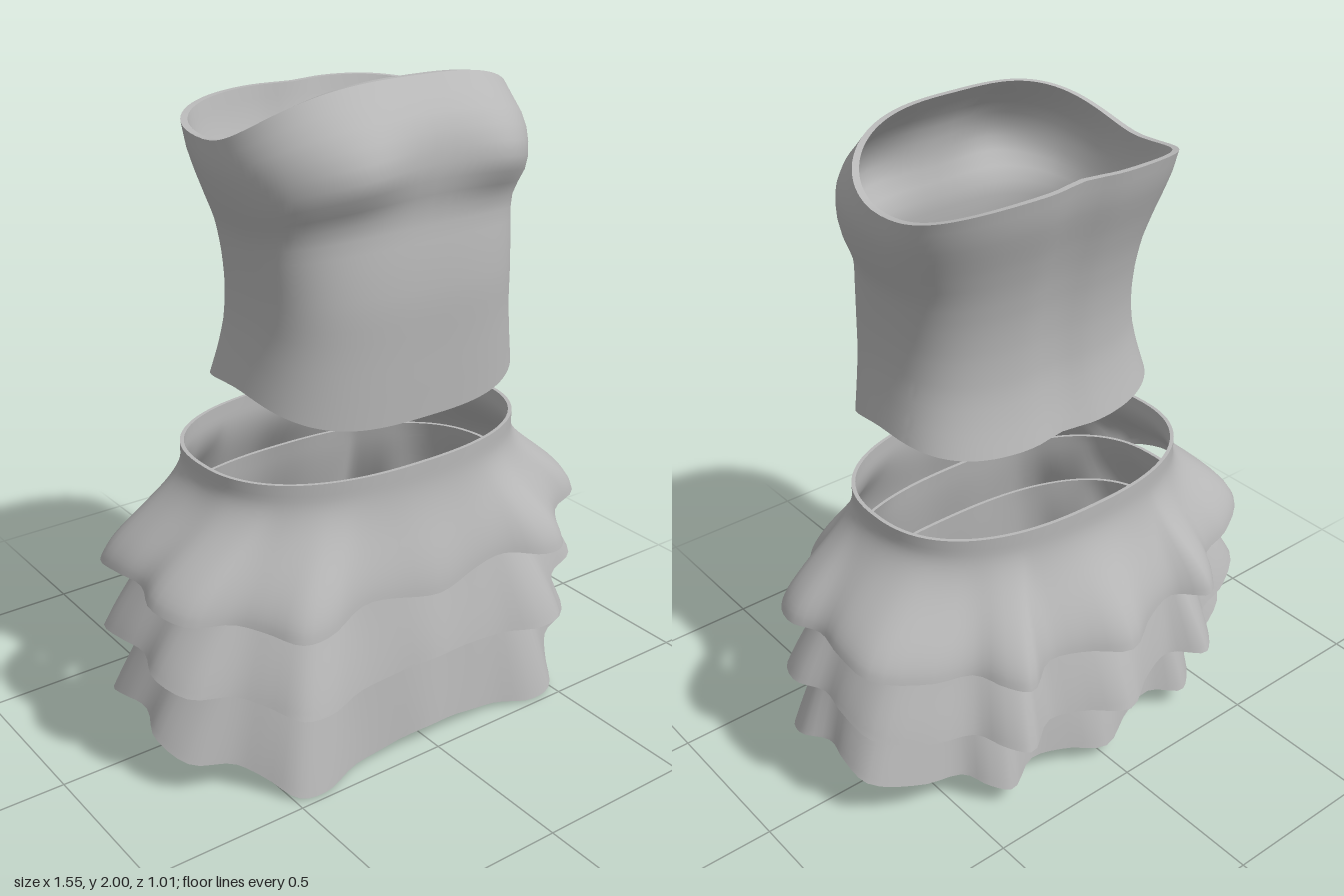
import * as THREE from 'three';
import { toCreasedNormals } from 'three/addons/utils/BufferGeometryUtils.js';

const SEG = 128, ROWS = 22;
const cloth = new THREE.MeshStandardMaterial({ color: 0xb8b8b8, side: THREE.DoubleSide });
cloth.name = 'grey cloth';

const lerp = THREE.MathUtils.lerp;
const bump = (v, w) => Math.exp(-((v / w) ** 2));

// Point on a rounded-rectangle ring; angle 0 faces the front
function ringPoint(angle, hx, zFront, zBack, n) {
  const s = Math.sin(angle), c = Math.cos(angle);
  const round = (v) => Math.sign(v) * Math.abs(v) ** (2 / n);
  return [hx * round(s), (zFront + zBack) / 2 + ((zFront - zBack) / 2) * round(c)];
}

// Closed cloth shell: outer wall going up, inner wall coming down
function shell(name, pointAt, thickness) {
  const positions = [], index = [];
  const total = 2 * (ROWS + 1);
  for (let r = 0; r < total; r++) {
    const inner = r > ROWS;
    const t = (inner ? total - 1 - r : r) / ROWS;
    for (let i = 0; i < SEG; i++) {
      const p = pointAt(i / SEG, t);
      if (inner) {
        const inward = new THREE.Vector3(-p.x, 0, 0.06 - p.z).normalize();
        p.addScaledVector(inward, thickness);
      }
      positions.push(p.x, p.y, p.z);
    }
  }
  for (let r = 0; r < total; r++) {
    const next = (r + 1) % total;
    for (let i = 0; i < SEG; i++) {
      const j = (i + 1) % SEG;
      const a = r * SEG + i, b = r * SEG + j, c = next * SEG + j, d = next * SEG + i;
      index.push(a, b, c, a, c, d);
    }
  }
  const geometry = new THREE.BufferGeometry();
  geometry.setAttribute('position', new THREE.Float32BufferAttribute(positions, 3));
  geometry.setIndex(index);
  const mesh = new THREE.Mesh(toCreasedNormals(geometry, 0.7), cloth);
  mesh.name = name;
  return mesh;
}

// Strapless bodice: half width, front z and back z at equal steps from hem to neckline
const bodiceProfile = new THREE.CatmullRomCurve3([
  [0.45, 0.41, -0.19], [0.43, 0.415, -0.165], [0.415, 0.42, -0.15],
  [0.41, 0.425, -0.15], [0.412, 0.42, -0.16], [0.42, 0.41, -0.18],
  [0.448, 0.43, -0.21], [0.468, 0.415, -0.245], [0.468, 0.32, -0.27],
].map((p) => new THREE.Vector3(...p)));

function bodicePoint(u, t) {
  const angle = u * Math.PI * 2, c = Math.cos(angle);
  const lift = Math.abs(c) ** 1.3;
  const bottom = 1.16 - lift * (c > 0 ? 0.1 : 0.06);
  const top = 1.84 + lift * (c > 0 ? 0.16 : 0.06);
  const row = bodiceProfile.getPoint(t);
  let [x, z] = ringPoint(angle, row.x, row.y, row.z, 3);
  if (c > 0) {
    // Two bust cups, sharper underneath than above, with a dip between
    const cup = bump(Math.abs(x) - 0.25, 0.15) * bump(t - 0.77, t < 0.77 ? 0.09 : 0.12);
    z += 0.045 * cup * Math.min(1, c * 2);
  } else {
    z += 0.022 * bump(x, 0.08); // spine groove
  }
  return new THREE.Vector3(x, lerp(bottom, top, t), z);
}

// Left half of the folded hem outline as [x, z], from front centre to back centre
const folds = [
  [0, 0.49], [0.14, 0.47], [0.27, 0.47], [0.4, 0.505], [0.49, 0.49], [0.55, 0.4],
  [0.61, 0.33], [0.73, 0.28], [0.775, 0.16], [0.74, 0.05], [0.755, -0.06], [0.74, -0.2],
  [0.6, -0.3], [0.47, -0.34], [0.42, -0.42], [0.36, -0.47], [0.25, -0.41], [0.13, -0.44], [0, -0.505],
];
const outline = new THREE.CatmullRomCurve3(
  [...folds, ...folds.slice(1, -1).reverse().map(([x, z]) => [-x, z])]
    .map(([x, z]) => new THREE.Vector3(x, 0, z)), true);

// Each tier: waist ring, hem height at the sides, hem drop front and back,
// raised arch in the front hem, depth scales and how late the cloth flares
const tiers = [
  { name: 'upperRuffle', top: 0.92, waist: [0.53, 0.41, -0.32], side: 0.6, drop: [0.075, 0.1],
    arch: 0.035, archX: 0.25, depth: [1, 1], flare: 1 },
  { name: 'middleRuffle', top: 0.7, waist: [0.58, 0.4, -0.34], side: 0.38, drop: [0.1, 0.11],
    arch: 0.03, archX: 0, depth: [1, 1], flare: 0.25 },
  { name: 'lowerRuffle', top: 0.5, waist: [0.62, 0.41, -0.29], side: 0.19, drop: [0.185, 0.14],
    arch: 0.05, archX: 0, depth: [0.95, 0.8], flare: 0.1 },
];

// One skirt tier: folds fade from the hem up to a smooth oval
function ruffle({ name, top, waist, side, drop, arch, archX, depth, flare }) {
  return shell(name, (u, t) => {
    const p = outline.getPoint(u);
    const half = p.z > 0 ? 0 : 1;
    const [x, z] = ringPoint(Math.atan2(p.x / 0.78, p.z / 0.5), ...waist, 2.4);
    let hemY = side - drop[half] * Math.abs(p.z / 0.5) ** 1.5;
    if (half === 0) hemY += arch * bump(Math.abs(p.x) - archX, 0.14);
    const out = lerp(1 - t, THREE.MathUtils.smoothstep(1 - t, 0.12, 1.05), flare);
    return new THREE.Vector3(lerp(x, p.x, out), lerp(hemY, top, t), lerp(z, p.z * depth[half], out));
  }, 0.012);
}

export function createModel() {
  const model = new THREE.Group();
  model.name = 'twoPieceOutfit';
  const skirt = new THREE.Group();
  skirt.name = 'tieredSkirt';
  tiers.forEach((tier) => skirt.add(ruffle(tier)));
  model.add(shell('bodice', bodicePoint, 0.02), skirt);
  return model;
}
